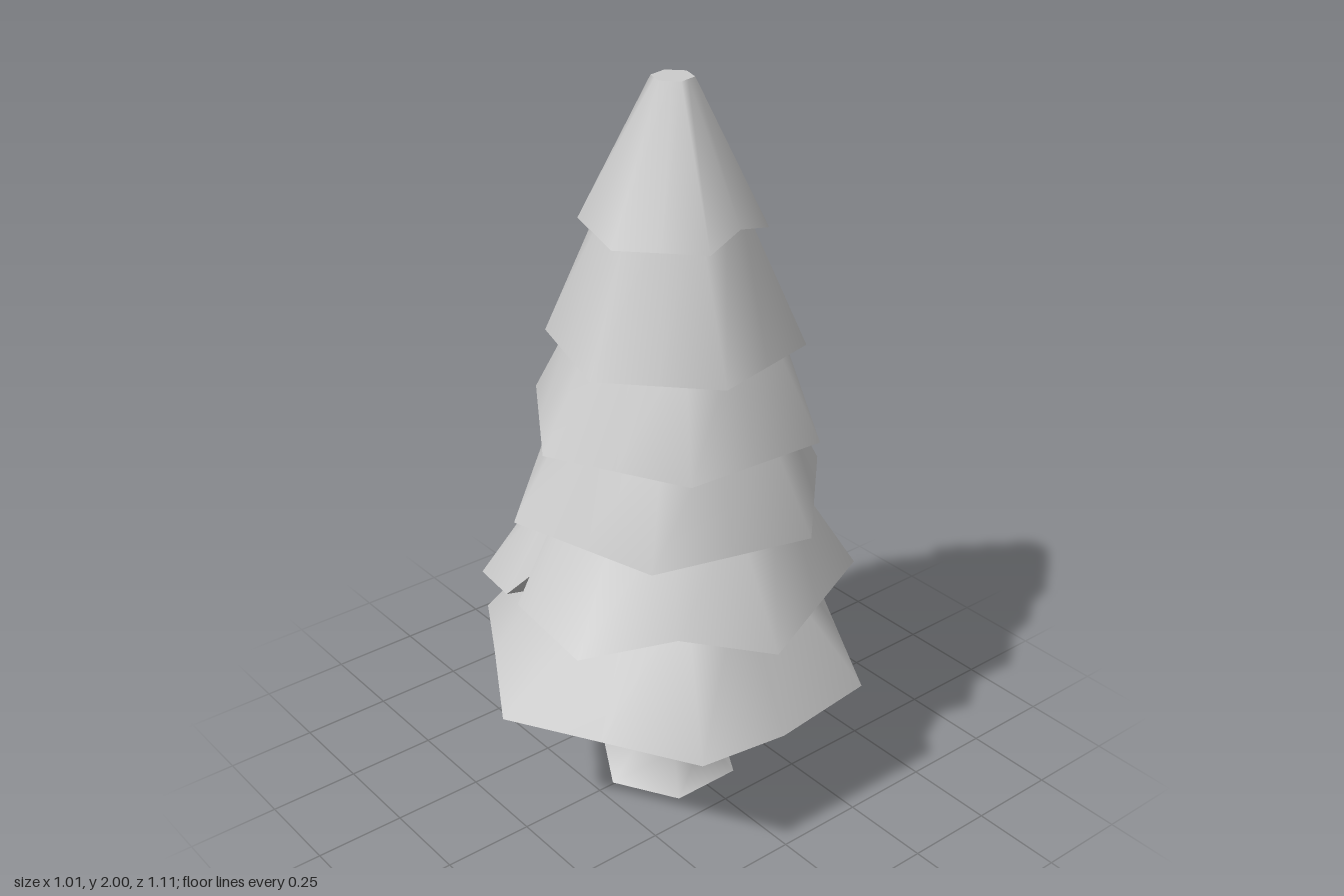
import * as THREE from 'three';

const material = new THREE.MeshStandardMaterial({ color: 0xcccccc, side: THREE.DoubleSide });

// Points round a six-sided ring. Each spot is [edge + fraction, lift, inset].
function hexRing({ phase, x, z }, radius, y, spots) {
  const corner = (n) => {
    const a = THREE.MathUtils.degToRad(phase + 60 * n);
    return new THREE.Vector3(Math.cos(a) * radius, 0, Math.sin(a) * radius);
  };
  return spots.map(([s, lift = 0, inset = 0]) => {
    const k = Math.floor(s);
    const p = corner(k).lerp(corner(k + 1), s - k);
    if (inset) p.setLength(p.length() - inset);
    return p.add(new THREE.Vector3(x, y + lift, z));
  });
}

// The same spots pushed out to a circle
function roundRing({ phase, x, z }, radius, y, spots) {
  return hexRing({ phase, x: 0, z: 0 }, 1, 0, spots)
    .map((p) => p.setLength(radius).add(new THREE.Vector3(x, y, z)));
}

// Skin strips between successive rings; each strip has its own smooth normals.
function skin(name, strips) {
  const pos = [], index = [];
  for (const rings of strips) {
    const start = pos.length / 3, n = rings[0].length;
    rings.forEach((r) => r.forEach((p) => pos.push(p.x, p.y, p.z)));
    for (let j = 0; j < rings.length - 1; j++) {
      for (let i = 0; i < n; i++) {
        const a = start + j * n + i, a1 = start + j * n + (i + 1) % n;
        index.push(a, a + n, a1, a1, a + n, a1 + n);
      }
    }
  }
  const g = new THREE.BufferGeometry();
  g.setAttribute('position', new THREE.Float32BufferAttribute(pos, 3));
  g.setIndex(index);
  g.computeVertexNormals();
  const mesh = new THREE.Mesh(g, material);
  mesh.name = name;
  return mesh;
}

const corners = [0, 1, 2, 3, 4, 5].map((k) => [k]);

// Branch tiers from the bottom up; dents are bent or notched spots on the rim.
const tiers = [
  { y: 0.385, r: 0.557, top: 0.285, phase: 30, x: -0.003, z: 0,
    dents: [[1.5, 0.03], [3.5, 0.07], [5.5, -0.035]] },
  { y: 0.64, r: 0.506, top: 0.295, phase: 6, x: 0, z: 0,
    dents: [[0.5, 0.05], [1.61], [1.62, 0.08, 0.05], [1.73]] },
  { y: 0.872, r: 0.443, top: 0.275, phase: 45, x: -0.012, z: -0.015, dents: [] },
  { y: 1.1, r: 0.405, top: 0.25, phase: 33, x: -0.003, z: -0.018,
    dents: [[3.42], [3.48, 0.065, 0.03], [3.52]] },
  { y: 1.318, r: 0.337, top: 0.165, phase: 17, x: -0.002, z: -0.02, dents: [[2.5, 0.04]] },
  { y: 1.628, r: 0.24, top: 0.054, phase: 17, x: -0.008, z: -0.018, dents: [[5.5, 0.03]] },
];
const hollow = 0.08; // depth of the recess under each tier
const lipScale = 0.77; // inner edge of the flat lip under each rim

export function createModel() {
  const tree = new THREE.Group();
  tree.name = 'firTree';

  // Trunk with flared foot
  const base = { phase: 30, x: -0.005, z: 0 };
  const trunk = [[0.2, 0], [0.11, 0.095], [0.083, 0.465]]
    .map(([r, y]) => hexRing(base, r, y, corners));
  tree.add(skin('trunk', [trunk, [hexRing(base, 0, 0, corners), trunk[0]]]));

  // Skirts: hexagonal rim rounding off upwards, flat lip and recess below
  tiers.forEach((t, i) => {
    const mids = corners.map(([k]) => [k + 0.5])
      .filter(([m]) => t.dents.every(([d]) => Math.abs(d - m) > 0.1));
    const spots = [...corners, ...mids, ...t.dents].sort((a, b) => a[0] - b[0]);
    const plain = spots.map(([s]) => [s]);
    const below = tiers[i - 1], above = tiers[i + 1];

    const rim = hexRing(t, t.r, t.y, spots);
    const lip = hexRing(t, t.r * lipScale, t.y, spots);
    const ceiling = hexRing(t, t.r * (lipScale - 0.02), t.y + hollow, plain);
    const inner = roundRing(t, below ? below.top * 0.9 : 0.07, t.y + hollow, plain);
    const top = above
      ? roundRing({ ...above, phase: t.phase }, t.top, above.y + hollow, plain)
      : hexRing(t, t.top, 2, plain);

    const strips = [[rim, top], [lip, rim], [inner, ceiling, lip]];
    if (!above) strips.push([top, hexRing(t, 0, 2, plain)]);
    tree.add(skin('branchTier' + (i + 1), strips));
  });
  return tree;
}
